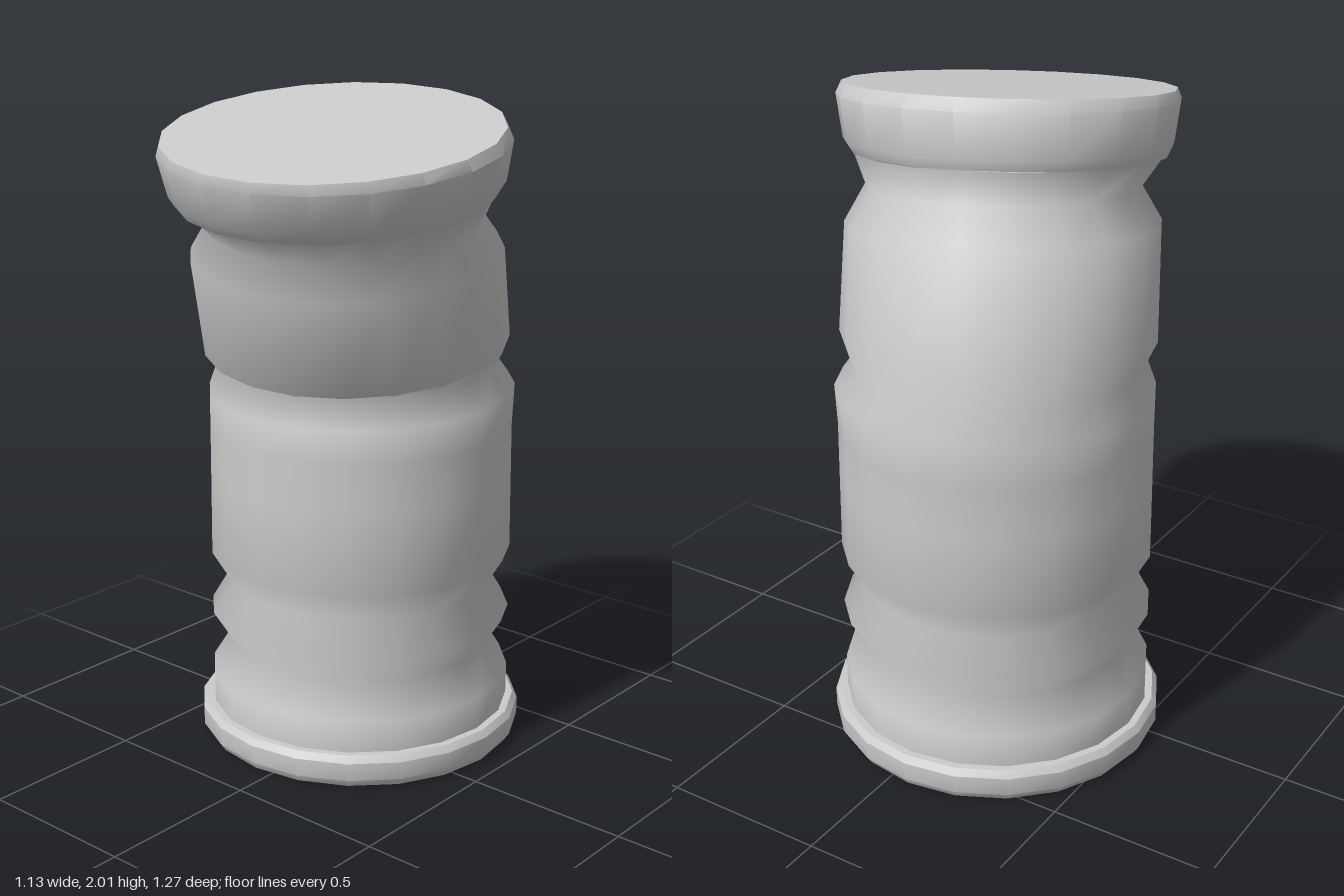
import * as THREE from 'three';
import { toCreasedNormals } from 'three/addons/utils/BufferGeometryUtils.js';

const SIDES = 20;

// Skins a stack of rings, bottom to top.
// Ring: [centre x, centre y, centre z, radius, y slope along x, y slope along z, twist]
function loft(rings) {
  const pos = [], index = [];
  for (const [cx, cy, cz, r, sx = 0, sz = 0, twist = 0] of rings) {
    for (let i = 0; i < SIDES; i++) {
      const a = (i / SIDES) * Math.PI * 2 + twist;
      const dx = r * Math.sin(a), dz = r * Math.cos(a);
      pos.push(cx + dx, cy + sx * dx + sz * dz, cz + dz);
    }
  }
  for (let k = 0; k < rings.length - 1; k++) {
    for (let i = 0; i < SIDES; i++) {
      const a = k * SIDES + i, b = k * SIDES + (i + 1) % SIDES;
      index.push(a, b, b + SIDES, a, b + SIDES, a + SIDES);
    }
  }
  const g = new THREE.BufferGeometry();
  g.setAttribute('position', new THREE.Float32BufferAttribute(pos, 3));
  g.setIndex(index);
  g.computeVertexNormals();
  return g;
}

export function createModel() {
  const group = new THREE.Group();
  const material = new THREE.MeshStandardMaterial({ color: 0xcccccc, side: THREE.DoubleSide });
  const add = (name, geometry) => {
    const mesh = new THREE.Mesh(geometry, material);
    mesh.name = name;
    group.add(mesh);
  };

  const X = -0.063, Z = -0.125;

  // Crumpled wall: zigzag folds below, a bent and folded section above
  add('crumpledBody', loft([
    [X, 0.09, Z, 0.47],
    [X, 0.2, Z, 0.47],
    [X, 0.3, Z, 0.408],
    [X, 0.4, Z, 0.47],
    [X, 0.5, Z, 0.41],
    [X, 0.6, Z, 0.47],
    [X, 0.85, Z, 0.468],
    [X, 1.0, Z, 0.467],
    [X, 1.115, -0.13, 0.47, -0.005, -0.04],
    [-0.07, 1.2, -0.127, 0.426, -0.03, -0.015],
    [-0.055, 1.27, -0.097, 0.463, -0.065, -0.138],
    [0, 1.565, 0.012, 0.46, -0.076, -0.13],
    [0.025, 1.66, 0.05, 0.4, -0.075, -0.13, -0.04],
    [0.034, 1.75, 0.095, 0.455, -0.073, -0.13, -0.05],
  ]));

  // Level rim at the foot, closed underneath
  add('bottomRim', toCreasedNormals(loft([
    [X, 0, Z, 0],
    [X, 0, Z, 0.49],
    [X, 0.025, Z, 0.507],
    [X, 0.08, Z, 0.507],
    [X, 0.1, Z, 0.492],
    [X, 0.1, Z, 0.465],
  ]), 0.6));

  // Leaning rim with the lid
  const tilt = [-0.072, -0.145, -0.05];
  add('topRim', toCreasedNormals(loft([
    [0.034, 1.75, 0.095, 0.44, ...tilt],
    [0.034, 1.747, 0.097, 0.463, ...tilt],
    [0.041, 1.775, 0.103, 0.48, ...tilt],
    [0.063, 1.895, 0.138, 0.5, ...tilt],
    [0.067, 1.926, 0.15, 0.486, -0.07, -0.155, -0.05],
    [0.067, 1.926, 0.15, 0],
  ]), 0.6));

  return group;
}
